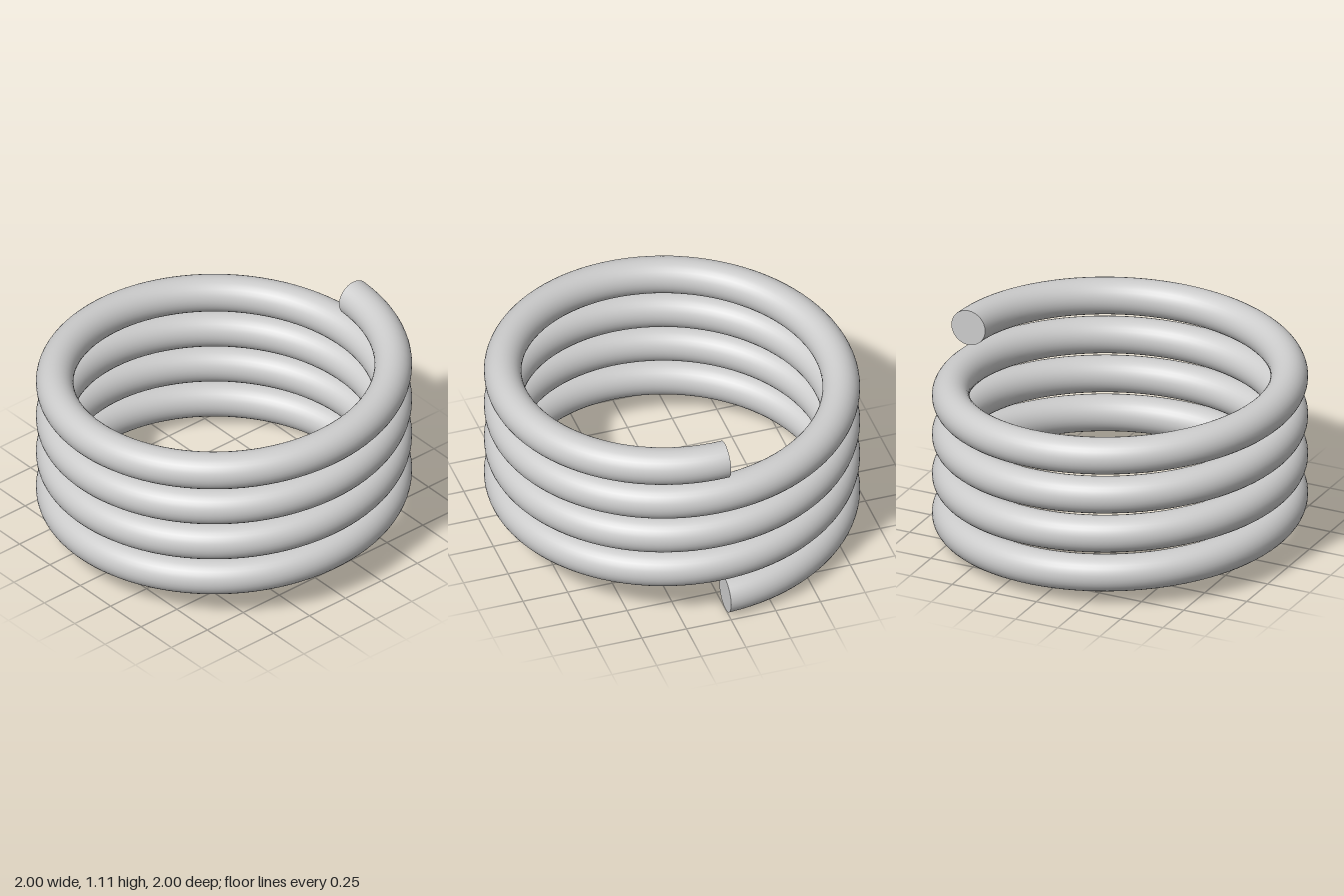
import * as THREE from 'three';
import { ParametricGeometry } from 'three/addons/geometries/ParametricGeometry.js';

const TURNS = 4, RADIUS = 0.9, WIRE = 0.1, BOTTOM = 0.1, TOP = 1.01;

export function createModel() {
  const model = new THREE.Group();
  model.name = 'coilSpring';
  const material = new THREE.MeshStandardMaterial({ color: 0xcccccc });

  const add = (name, geometry) => {
    const mesh = new THREE.Mesh(geometry, material);
    mesh.name = name;
    model.add(mesh);
    return mesh;
  };

  // Round wire swept along a rising helix; u runs along the coil, v around the wire
  const sweep = (u, v, target) => {
    const a = u * TURNS * Math.PI * 2;
    const t = v * Math.PI * 2;
    const r = RADIUS + WIRE * Math.cos(t);
    const y = THREE.MathUtils.lerp(BOTTOM, TOP, u) + WIRE * Math.sin(t);
    target.set(r * Math.cos(a), y, -r * Math.sin(a));
  };
  add('coil', new ParametricGeometry(sweep, TURNS * 96, 32));

  // Flat cut ends: the lower faces forward, the upper backward
  const cap = new THREE.CircleGeometry(WIRE, 32);
  add('lowerEnd', cap).position.set(RADIUS, BOTTOM, 0);
  const upper = add('upperEnd', cap);
  upper.position.set(RADIUS, TOP, 0);
  upper.rotation.y = Math.PI;

  return model;
}
